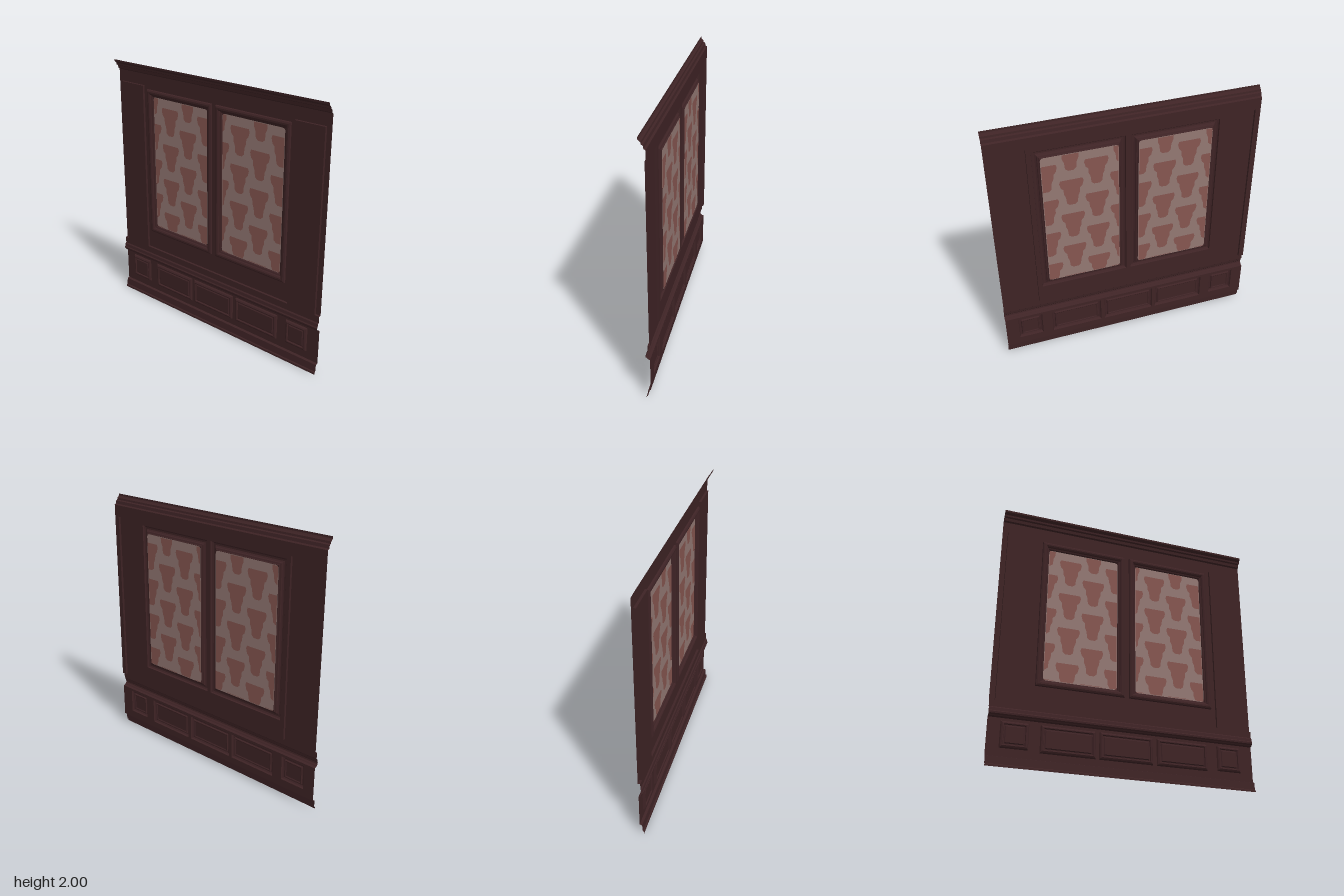
import * as THREE from 'three';

const BACK = -0.02;   // recessed wall plane
const LOW = -0.017;   // lower wall plane
const PANE = -0.028;  // fabric plane

const wood = new THREE.MeshStandardMaterial({ color: 0x3e2325, side: THREE.DoubleSide });
const paleFabric = new THREE.MeshStandardMaterial({ color: 0x937873, side: THREE.DoubleSide });
const redFabric = new THREE.MeshStandardMaterial({ color: 0x865650, side: THREE.DoubleSide });
wood.name = 'dark wood';
paleFabric.name = 'pale fabric';
redFabric.name = 'red fabric';

function mesh(name, geometry, material = wood) {
  const m = new THREE.Mesh(geometry, material);
  m.name = name;
  return m;
}

// Sheet joining successive rows of points, with hard edges
function sheet(rows, closed = false) {
  const pos = [];
  for (let r = 0; r + 1 < rows.length; r++) {
    const a = rows[r], b = rows[r + 1], n = a.length;
    for (let i = 0; i < (closed ? n : n - 1); i++) {
      const j = (i + 1) % n;
      pos.push(...a[i], ...a[j], ...b[j], ...a[i], ...b[j], ...b[i]);
    }
  }
  const g = new THREE.BufferGeometry();
  g.setAttribute('position', new THREE.Float32BufferAttribute(pos, 3));
  g.computeVertexNormals();
  return g;
}

const rect = ([x0, x1, y0, y1], d = 0) =>
  [[x0 + d, y0 + d], [x1 - d, y0 + d], [x1 - d, y1 - d], [x0 + d, y1 - d]];
const toShape = pts => new THREE.Shape(pts.map(p => new THREE.Vector2(p[0], p[1])));

function flat(pts, z, holes = []) {
  const s = toShape(pts);
  s.holes = holes.map(h => toShape(h));
  return new THREE.ShapeGeometry(s).translate(0, 0, z);
}

// Mitred rectangular moulding; profile is [inset, z]
function moulding(box, profile) {
  return sheet(profile.map(([d, z]) => rect(box, d).map(p => [...p, z])), true);
}

// Horizontal moulding across the full width; profile is [y, z], bottom to top
function strip(profile) {
  return sheet(profile.map(([y, z]) => [[-1, y, z], [1, y, z]]));
}

function roundedRect([x0, x1, y0, y1], r) {
  const pts = [];
  const corners = [[x0 + r, y0 + r], [x1 - r, y0 + r], [x1 - r, y1 - r], [x0 + r, y1 - r]];
  corners.forEach(([cx, cy], k) => {
    for (let i = 0; i <= 4; i++) {
      const a = Math.PI * (1 + k / 2 + i / 8);
      pts.push([cx + r * Math.cos(a), cy + r * Math.sin(a)]);
    }
  });
  return pts;
}

// Woven motif: half outline as [half width, drop]
const HALF = [[0.08, 0], [0.088, -0.022], [0.078, -0.06], [0.06, -0.078],
  [0.058, -0.115], [0.045, -0.145], [0.04, -0.195], [0.02, -0.212]];

function motif(cx, top, [x0, x1, y0, y1]) {
  const outline = [...HALF.map(([w, d]) => [-w, d]), ...HALF.slice().reverse()];
  const pts = outline.map(([x, d]) => [
    THREE.MathUtils.clamp(cx + x, x0, x1),
    THREE.MathUtils.clamp(top + d, y0, y1)]);
  const unique = pts.filter((p, i) => {
    const q = pts[(i + 1) % pts.length];
    return Math.hypot(p[0] - q[0], p[1] - q[1]) > 1e-5;
  });
  return unique.length > 2 && Math.abs(THREE.ShapeUtils.area(
    unique.map(p => new THREE.Vector2(...p)))) > 1e-4 ? unique : null;
}

export function createModel() {
  const group = new THREE.Group();
  const windows = [[-0.685, -0.018, 0.617, 1.806], [0.018, 0.685, 0.617, 1.806]];
  const panels = [[-0.91, -0.71, 0.14, 0.33], [-0.63, -0.23, 0.13, 0.33],
    [-0.205, 0.2, 0.13, 0.33], [0.23, 0.63, 0.13, 0.33], [0.71, 0.9, 0.14, 0.33]];

  // Upper wall with raised pilasters joined to a raised lower band
  const half = [[1, 0.47], [0.96, 0.47], [0.96, 1.83], [0.72, 1.83], [0.72, 0.47]];
  const step = [...half.map(([x, y]) => [-x, y]), ...half.slice().reverse()];
  group.add(mesh('upperWall', flat([...step, [1, 1.92], [-1, 1.92]], BACK, windows.map(w => rect(w)))));
  group.add(mesh('pilasters', flat([...step, [1, 0.42], [-1, 0.42]], -0.002)));
  group.add(mesh('pilasterEdges', sheet([-0.002, BACK].map(z => step.map(p => [...p, z])))));

  // Lower wall
  group.add(mesh('lowerWall', flat(rect([-1, 1, 0.08, 0.35]), LOW, panels.map(p => rect(p)))));

  // Full-width mouldings
  group.add(mesh('cornice', strip([[1.92, BACK], [1.928, -0.008], [1.95, -0.004], [1.956, 0.008],
    [1.97, 0.01], [1.978, 0.02], [1.986, 0.027], [2, 0.028]])));
  group.add(mesh('chairRail', strip([[0.35, LOW], [0.356, 0], [0.362, 0.004], [0.37, 0.013],
    [0.382, 0.015], [0.39, 0.009], [0.412, 0.006], [0.42, -0.002]])));
  group.add(mesh('baseboard', strip([[0, 0.015], [0.014, 0.014], [0.02, 0.005],
    [0.074, 0.001], [0.08, LOW]])));

  // Raised lower panels
  for (const box of panels) {
    const panel = new THREE.Group();
    panel.name = 'lowerPanel';
    panel.add(mesh('panelMoulding', moulding(box, [[0, LOW], [0.006, -0.006], [0.016, 0],
      [0.022, -0.001], [0.026, -0.01], [0.032, -0.01], [0.038, -0.005]])));
    panel.add(mesh('panelField', flat(rect(box, 0.038), -0.005)));
    group.add(panel);
  }

  // Framed fabric panels
  windows.forEach((box, k) => {
    const framed = new THREE.Group();
    framed.name = 'fabricPanel';
    framed.add(mesh('frame', moulding(box, [[0, BACK], [0.003, -0.008], [0.014, -0.002],
      [0.026, -0.002], [0.036, -0.008], [0.04, -0.016], [0.05, -0.02], [0.055, PANE]])));
    const [x0, x1, y0, y1] = box;
    const inner = [x0 + 0.055, x1 - 0.055, y0 + 0.055, y1 - 0.055];
    const opening = roundedRect(inner, 0.022);
    framed.add(mesh('fabric', flat(opening, PANE), paleFabric));
    // Small rounded corners of the opening
    framed.add(mesh('frameCorners', flat(rect(inner, -0.002), PANE, [opening])));

    // Staggered motifs, applied to both faces of the fabric
    const edge = [inner[0] + 0.004, inner[1] - 0.004, inner[2] + 0.004, inner[3] - 0.004];
    for (let col = 0; col < 4; col++) {
      for (let row = 0; row < 6; row++) {
        const top = (col % 2 ? 1.683 : 1.828) - row * 0.287;
        const pts = motif(-0.639 + col * 0.184 + k * 0.692, top, edge);
        if (!pts) continue;
        for (const dz of [0.0012, -0.0012]) {
          framed.add(mesh('motif', flat(pts, PANE + dz), redFabric));
        }
      }
    }
    group.add(framed);
  });
  return group;
}
